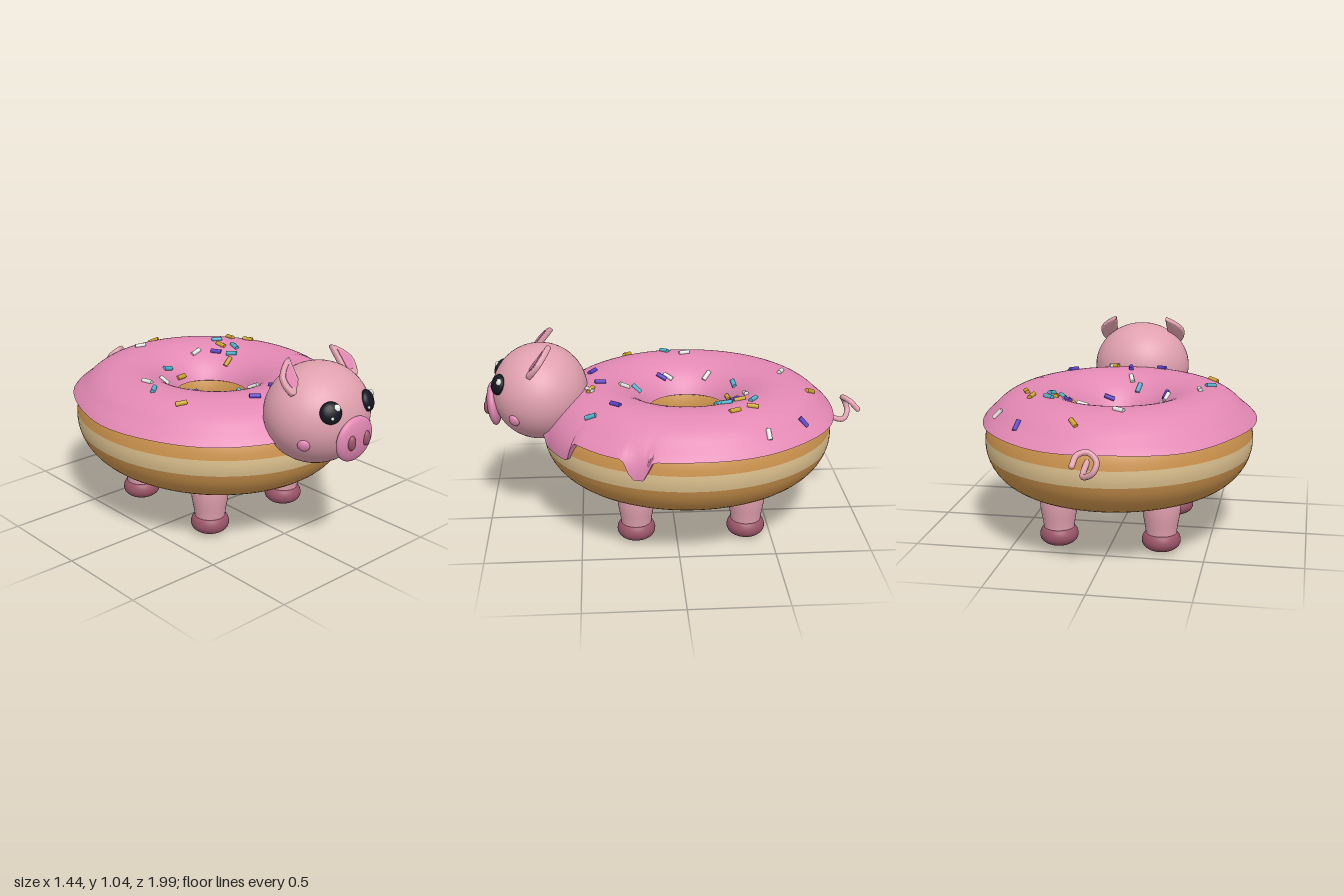
import * as THREE from 'three';
import { toCreasedNormals } from 'three/addons/utils/BufferGeometryUtils.js';

const mat = (name, color) => {
  const m = new THREE.MeshStandardMaterial({ color });
  m.name = name;
  return m;
};

// Ring body dimensions: stretched torus
const R = 0.481, TUBE = 0.285, TALL = 0.25, SX = 0.92, CY = 0.525, CZ = -0.075;
const ss = THREE.MathUtils.smoothstep;

function ringPoint(u, phi, offset, lift = offset) {
  const r = R + (TUBE + offset) * Math.cos(phi);
  return [SX * r * Math.cos(u), CY + (TALL + lift) * Math.sin(phi), CZ + r * Math.sin(u)];
}

// Surface closed around u, open across rows
function ringSurface(nu, nv, fn) {
  const pos = [], idx = [];
  for (let i = 0; i < nu; i++)
    for (let j = 0; j <= nv; j++) pos.push(...fn((i / nu) * Math.PI * 2, j));
  const at = (i, j) => (i % nu) * (nv + 1) + j;
  for (let i = 0; i < nu; i++)
    for (let j = 0; j < nv; j++) {
      idx.push(at(i, j), at(i, j + 1), at(i + 1, j));
      idx.push(at(i + 1, j), at(i, j + 1), at(i + 1, j + 1));
    }
  const g = new THREE.BufferGeometry();
  g.setAttribute('position', new THREE.Float32BufferAttribute(pos, 3));
  g.setIndex(idx);
  g.computeVertexNormals();
  return g;
}

// How far the icing runs down at angle u (0 = none, 1 = full drip)
const drip = (u) => Math.max(
  ss(u, 0.27, 0.35) * (1 - ss(u, 0.41, 0.49)),
  ss(u, 0.88, 0.96) * (1 - ss(u, 1.24, 1.34)));

export function createModel() {
  const root = new THREE.Group();
  const skin = mat('skin pink', 0xe0a0ae), icing = mat('icing pink', 0xe288b3);
  const dough = mat('dough', 0xcb924c), cream = mat('pale dough', 0xdcc08e);
  const hoof = mat('hoof', 0x9a5468), black = mat('eye black', 0x14161f);
  const gold = mat('gold', 0xd0a52c), purple = mat('purple', 0x5b3fc4);
  const cyan = mat('cyan', 0x52b2cc), white = mat('white', 0xe4e6e2);

  const add = (name, geo, m, parent = root) => {
    const mesh = new THREE.Mesh(geo, m);
    mesh.name = name;
    parent.add(mesh);
    return mesh;
  };

  // Dough ring with a pale band round the outside
  const lo = -0.222, hi = 0.12;
  add('doughRing', ringSurface(112, 48, (u, j) =>
    ringPoint(u, hi + (j / 48) * (Math.PI * 2 + lo - hi), 0)), dough);
  add('doughBand', ringSurface(112, 4, (u, j) =>
    ringPoint(u, lo + (j / 4) * (hi - lo), 0)), cream);

  // Icing with flared lip and drips; first and last rows close it onto the dough
  const NV = 32;
  const icingGeo = ringSurface(200, NV, (u, j) => {
    const d = drip(u), wobble = 0.03 * Math.sin(7 * u + 1) * (1 - d);
    const start = 0.41 * (1 - d) + wobble * 0.4, end = Math.PI - 0.41;
    const t = THREE.MathUtils.clamp((j - 1) / (NV - 2), 0, 1);
    const phi = start + t * (end - start);
    if (j === 0 || j === NV) return ringPoint(u, phi, -0.005);
    const flare = (0.028 + 0.008 * Math.sin(5 * u)) * (1 - d) * (1 - ss(phi, 0.38, 0.72));
    return ringPoint(u, phi, 0.015 + flare, 0.015);
  });
  add('icing', toCreasedNormals(icingGeo, 0.9), icing);

  // Sprinkles: [x, z, heading in degrees]
  const sprinkles = [
    [gold, [[0.11, -0.71, 60], [0.4, -0.37, -80], [0.45, -0.275, 65], [0.285, -0.32, 85],
      [0.23, -0.2, -15], [-0.03, -0.3, -5], [-0.465, 0.23, 30], [0.12, 0.435, 25]]],
    [white, [[-0.085, -0.585, 25], [0.56, -0.43, -20], [0.14, -0.37, -10], [-0.23, -0.2, 40],
      [-0.425, -0.09, 75], [-0.24, 0.015, -55], [-0.01, 0.26, 75], [0.12, 0.44, -30]]],
    [cyan, [[0.31, -0.385, 35], [0.325, -0.25, -75], [0.275, -0.22, 50], [-0.095, -0.335, 5],
      [-0.47, 0.02, -40], [-0.06, 0.195, -75], [0.375, 0.435, -85]]],
    [purple, [[0.41, -0.625, -60], [0.23, -0.3, 55], [-0.23, 0.05, -60], [0.095, 0.135, 15],
      [-0.155, 0.425, 35], [0.015, 0.385, 80], [0.33, 0.31, -50]]],
  ];
  const sprinkleGeo = new THREE.CylinderGeometry(0.0125, 0.0125, 0.058, 10);
  for (const [m, list] of sprinkles)
    for (const [x, z, deg] of list) {
      const u = Math.atan2(z - CZ, x / SX), a = THREE.MathUtils.degToRad(deg);
      const c = THREE.MathUtils.clamp((Math.hypot(x / SX, z - CZ) - R) / (TUBE + 0.015), -0.95, 0.95);
      const phi = Math.acos(c);
      const n = new THREE.Vector3(Math.cos(u) * c, Math.sin(phi), Math.sin(u) * c).normalize();
      const dir = new THREE.Vector3(Math.cos(a), 0, Math.sin(a)).projectOnPlane(n).normalize();
      const s = add('sprinkle', sprinkleGeo, m);
      s.position.set(...ringPoint(u, phi, 0.015)).addScaledVector(n, 0.004);
      s.quaternion.setFromUnitVectors(new THREE.Vector3(0, 1, 0), dir);
    }

  // Head
  const ball = new THREE.SphereGeometry(1, 40, 28);
  const HC = new THREE.Vector3(0, 0.75, 0.7), HR = new THREE.Vector3(0.275, 0.25, 0.25);
  const head = add('head', ball, skin);
  head.position.copy(HC);
  head.scale.copy(HR);

  // Ellipsoid set on the front of the head, facing outward
  const onHead = (name, x, y, size, m, lift = 0) => {
    const dx = x / HR.x, dy = (y - HC.y) / HR.y;
    const p = new THREE.Vector3(x, y, HC.z + HR.z * Math.sqrt(1 - dx * dx - dy * dy));
    const n = p.clone().sub(HC).divide(HR).divide(HR).normalize();
    const part = add(name, ball, m);
    part.position.copy(p).addScaledVector(n, lift);
    part.scale.set(...size);
    part.lookAt(part.position.clone().add(n));
  };
  for (const s of [-1, 1]) {
    onHead('eye', s * 0.127, 0.833, [0.054, 0.054, 0.03], black);
    onHead('cheek', s * 0.22, 0.67, [0.03, 0.032, 0.018], icing);
  }
  for (const x of [-0.102, 0.153]) onHead('eyeHighlight', x, 0.851, [0.018, 0.018, 0.01], white, 0.022);
  onHead('eyeGlint', -0.132, 0.81, [0.008, 0.008, 0.006], white, 0.027);
  onHead('eyeGlint', 0.092, 0.81, [0.008, 0.008, 0.006], white, 0.018);

  // Snout and nostrils
  const snout = add('snout', ball, icing);
  snout.position.set(0, 0.682, 0.945);
  snout.scale.set(0.12, 0.115, 0.036);
  snout.rotation.x = 0.08;
  for (const s of [-1, 1]) {
    const nostril = add('nostril', ball, hoof);
    nostril.position.set(s * 0.051, 0.682, 0.975);
    nostril.scale.set(0.023, 0.038, 0.02);
  }

  // Ears, leaning back, with inner plates
  const earShape = (k) => {
    const sh = new THREE.Shape();
    sh.moveTo(-0.03 * k, -0.02 * k);
    sh.quadraticCurveTo(-0.035 * k, 0.07 * k, -0.04 * k, 0.145 * k);
    sh.quadraticCurveTo(0.02 * k, 0.11 * k, 0.045 * k, 0.065 * k);
    sh.quadraticCurveTo(0.055 * k, 0.02 * k, 0.03 * k, -0.02 * k);
    return sh;
  };
  const earGeo = toCreasedNormals(new THREE.ExtrudeGeometry(earShape(1), {
    depth: 0.012, bevelSize: 0.008, bevelThickness: 0.008, bevelSegments: 3, curveSegments: 10 }), 0.7);
  const innerGeo = new THREE.ExtrudeGeometry(earShape(0.7), { depth: 0.006, bevelEnabled: false });
  for (const s of [-1, 1]) {
    const ear = new THREE.Group();
    ear.name = 'ear';
    add('earOuter', earGeo, skin, ear);
    add('earInner', innerGeo, icing, ear).position.set(0.001, 0.02, 0.017);
    ear.position.set(s * 0.191, 0.915, 0.725);
    ear.rotation.x = -0.66;
    ear.scale.x = s;
    root.add(ear);
  }

  // Legs and hooves
  const lathe = (pts) => new THREE.LatheGeometry(
    new THREE.SplineCurve(pts.map((p) => new THREE.Vector2(...p))).getPoints(20), 32);
  const legGeo = lathe([[0.076, 0.07], [0.083, 0.13], [0.096, 0.21], [0.098, 0.28], [0.085, 0.38]]);
  const hoofGeo = lathe([[0, 0], [0.055, 0.008], [0.09, 0.03], [0.1, 0.06], [0.09, 0.09], [0.07, 0.1], [0, 0.1]]);
  for (const x of [-0.268, 0.268])
    for (const z of [0.213, -0.368]) {
      add('leg', legGeo, skin).position.set(x, 0, z);
      add('hoof', hoofGeo, hoof).position.set(x, 0.003, z);
    }

  // Curly tail with a rounded tip
  const path = [[0.02, 0.6, -0.81], [0.03, 0.56, -0.87], [0.02, 0.55, -0.92], [-0.03, 0.58, -0.95],
    [-0.045, 0.63, -0.935], [0, 0.667, -0.915], [0.045, 0.66, -0.945], [0.06, 0.62, -0.985]];
  const curve = new THREE.CatmullRomCurve3(path.map((p) => new THREE.Vector3(...p)));
  add('tail', new THREE.TubeGeometry(curve, 60, 0.0145, 12), skin);
  const tip = add('tailTip', ball, skin);
  tip.position.copy(curve.getPoint(1));
  tip.scale.setScalar(0.0145);

  return root;
}
